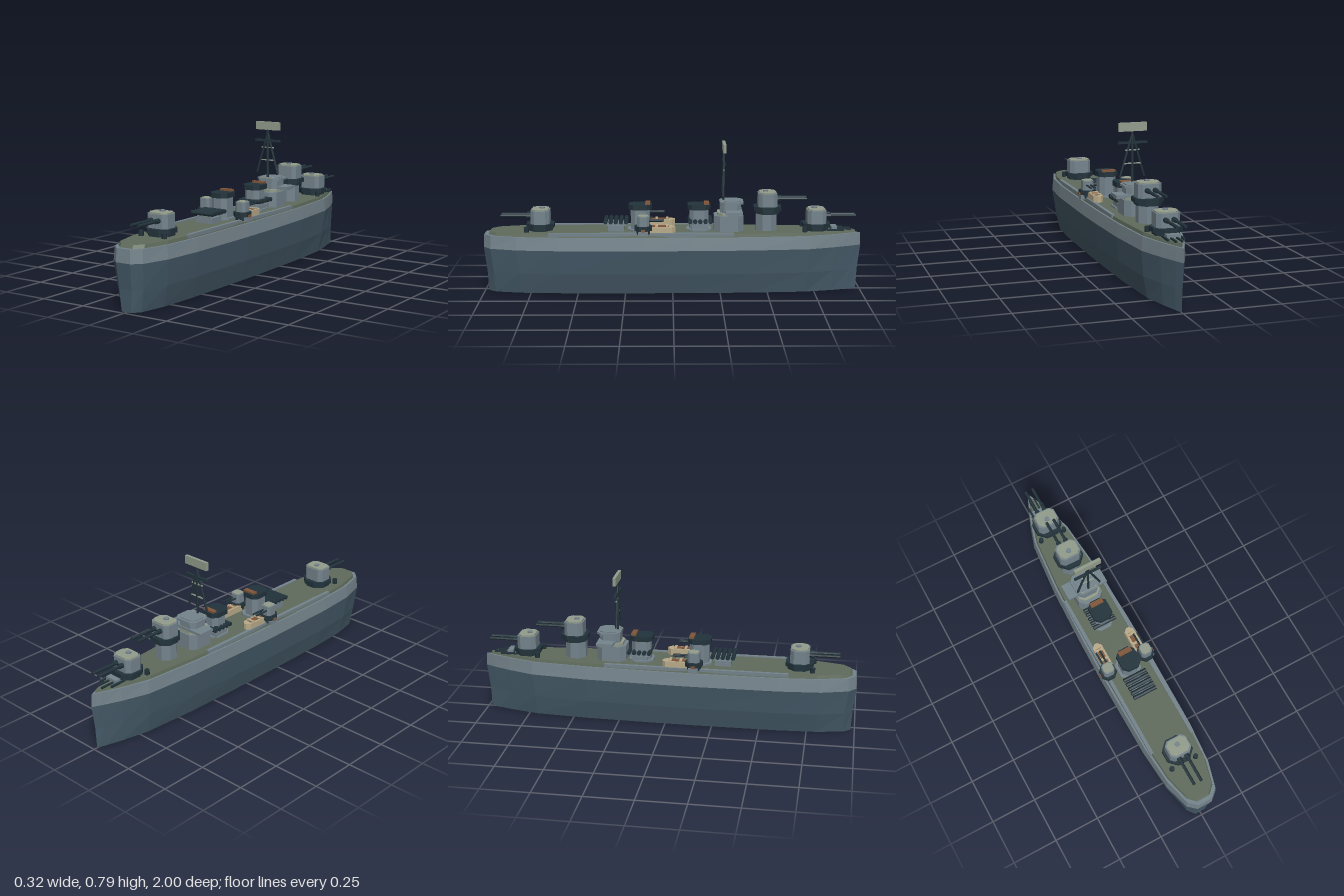
import * as THREE from 'three';

const mat = (name, color) => Object.assign(new THREE.MeshStandardMaterial({ color }), { name });
const M = {
  lower: mat('lowerHullBlue', 0x455a68),
  upper: mat('upperHullGrey', 0x74838b),
  deck: mat('deckOlive', 0x5f6b5c),
  grey: mat('superstructureGrey', 0x75848d),
  dark: mat('darkSteel', 0x22333b),
  roof: mat('roofSage', 0x929c8c),
  boat: mat('boatCream', 0xb9ab8a),
  brown: mat('rustBrown', 0x80563a),
};

function add(parent, name, geo, material, x = 0, y = 0, z = 0) {
  const m = new THREE.Mesh(geo, material);
  m.name = name;
  m.position.set(x, y, z);
  parent.add(m);
  return m;
}
const box = (w, h, d) => new THREE.BoxGeometry(w, h, d);
const flat = (geo) => { const g = geo.toNonIndexed(); g.computeVertexNormals(); return g; };

// Upright block with cut corners, standing on y = 0
function block(w, h, d, c) {
  const a = w / 2, b = d / 2;
  const pts = [[-a + c, -b], [a - c, -b], [a, -b + c], [a, b - c], [a - c, b], [-a + c, b], [-a, b - c], [-a, -b + c]];
  const shape = new THREE.Shape(pts.map((p) => new THREE.Vector2(...p)));
  return new THREE.ExtrudeGeometry(shape, { depth: h, bevelEnabled: false }).rotateX(-Math.PI / 2);
}

// Round bar between two points
function bar(parent, name, a, b, r, material, sides = 8) {
  const p = new THREE.Vector3(...a), q = new THREE.Vector3(...b), dir = q.clone().sub(p);
  const m = add(parent, name, flat(new THREE.CylinderGeometry(r, r, dir.length(), sides)), material);
  m.position.copy(p).add(q).multiplyScalar(0.5);
  m.quaternion.setFromUnitVectors(new THREE.Vector3(0, 1, 0), dir.normalize());
  return m;
}

// Half outline of the ship from bow to stern, as [x, z]
const half = [[0.022, -0.955], [0.062, -0.86], [0.108, -0.72], [0.136, -0.42], [0.147, -0.1], [0.151, 0.15],
  [0.146, 0.6], [0.128, 0.82], [0.088, 0.96], [0.042, 1]];
const ring = [[0, -1], ...half, ...half.slice().reverse().map(([x, z]) => [-x, z])];

// Skin through scaled outlines; each level is [y, xScale, zScale]
function shell(levels) {
  const pos = [], n = ring.length;
  const at = ([y, sx, sz], i) => [ring[i % n][0] * sx, y, ring[i % n][1] * sz];
  const last = levels[levels.length - 1];
  for (let i = 0; i < n; i++) {
    for (let k = 0; k + 1 < levels.length; k++) {
      const a = at(levels[k], i), b = at(levels[k], i + 1), c = at(levels[k + 1], i), d = at(levels[k + 1], i + 1);
      pos.push(...a, ...c, ...b, ...b, ...c, ...d);
    }
    pos.push(0, last[0], 0, ...at(last, i + 1), ...at(last, i));
    pos.push(0, levels[0][0], 0, ...at(levels[0], i), ...at(levels[0], i + 1));
  }
  const g = new THREE.BufferGeometry();
  g.setAttribute('position', new THREE.Float32BufferAttribute(pos, 3));
  g.computeVertexNormals();
  return g;
}

// Twin gun turret, barrels towards local +z
function turret(name, y, z, turn) {
  const g = new THREE.Group();
  g.name = name;
  g.position.set(0, y, z);
  g.rotation.y = turn;
  add(g, 'turretFoot', block(0.125, 0.02, 0.125, 0.035), M.dark);
  add(g, 'turretRing', block(0.15, 0.022, 0.145, 0.042), M.dark, 0, 0.016);
  add(g, 'gunHouse', block(0.122, 0.072, 0.1, 0.02), M.grey, 0, 0.036);
  add(g, 'gunHouseRoof', block(0.11, 0.009, 0.086, 0.02), M.roof, 0, 0.106);
  add(g, 'roofHatch', new THREE.CylinderGeometry(0.014, 0.014, 0.008, 8), M.grey, 0, 0.118, -0.01);
  for (const x of [-0.021, 0.021]) {
    bar(g, 'barrelCollar', [x, 0.078, 0.045], [x, 0.078, 0.075], 0.013, M.dark);
    bar(g, 'gunBarrel', [x, 0.078, 0.05], [x, 0.078, 0.208], 0.008, M.dark);
  }
  return g;
}

// Funnel with dark cap and rusty smoke opening
function funnel(name, z) {
  const g = new THREE.Group();
  g.name = name;
  g.position.set(0, 0.322, z);
  add(g, 'funnelFoot', block(0.12, 0.012, 0.13, 0.03), M.grey);
  add(g, 'funnelBody', block(0.09, 0.12, 0.1, 0.022), M.grey);
  add(g, 'funnelCap', block(0.106, 0.026, 0.122, 0.025), M.dark, 0, 0.116);
  add(g, 'funnelOpening', box(0.072, 0.012, 0.026), M.brown, 0, 0.146, -0.04);
  return g;
}

// Bank of five tubes lying across the deck
function tubeBank(z) {
  const g = new THREE.Group();
  g.name = 'tubeBank';
  g.position.set(0, 0.325, z);
  add(g, 'tubeMount', box(0.1, 0.03, 0.085), M.grey, 0, 0.015);
  add(g, 'tubeCradle', box(0.07, 0.02, 0.11), M.grey, 0, 0.035);
  for (let i = -2; i <= 2; i++) bar(g, 'tube', [-0.066, 0.052, i * 0.027], [0.066, 0.052, i * 0.027], 0.0115, M.dark);
  return g;
}

export function createModel() {
  const ship = new THREE.Group();
  ship.name = 'warship';

  // Hull and deck
  add(ship, 'lowerHull', shell([[0, 0.67, 0.98], [0.11, 0.87, 0.985], [0.24, 1, 1]]), M.lower);
  add(ship, 'upperHull', shell([[0.24, 1, 1], [0.308, 0.94, 0.996]]), M.upper);
  add(ship, 'deck', shell([[0.308, 0.87, 0.975], [0.325, 0.85, 0.965]]), M.deck);
  for (const s of [-1, 1]) add(ship, 'deckEdge', box(0.018, 0.018, 0.97), M.upper, s * 0.12, 0.322, 0.165);

  // Main guns
  ship.add(turret('bowTurret', 0.325, -0.76, Math.PI));
  ship.add(turret('raisedTurret', 0.415, -0.5, Math.PI));
  ship.add(turret('sternTurret', 0.325, 0.7, 0));
  add(ship, 'barbette', block(0.105, 0.1, 0.108, 0.032), M.grey, 0, 0.32, -0.495);
  for (const z of [-0.695, 0.77]) for (const s of [-1, 1]) {
    add(ship, 'bollard', new THREE.CylinderGeometry(0.013, 0.013, 0.03, 8), M.dark, s * 0.07, 0.337, z);
  }

  // Foredeck gear
  add(ship, 'breakwater', box(0.07, 0.022, 0.03), M.grey, 0, 0.334, -0.855);
  for (const s of [-1, 1]) {
    add(ship, 'anchorChain', box(0.01, 0.01, 0.09), M.dark, s * 0.04, 0.328, -0.86);
    add(ship, 'chainGuide', box(0.008, 0.01, 0.11), M.dark, s * 0.015, 0.328, -0.89);
  }

  // Bridge
  const bridge = new THREE.Group();
  bridge.name = 'bridge';
  add(bridge, 'bridgeBase', block(0.14, 0.085, 0.155, 0.03), M.grey, 0, 0.322, -0.295);
  add(bridge, 'bridgeBand', block(0.124, 0.018, 0.13, 0.025), M.roof, 0, 0.405, -0.3);
  add(bridge, 'bridgeWings', box(0.23, 0.014, 0.09), M.grey, 0, 0.43, -0.32);
  for (const s of [-1, 1]) add(bridge, 'wingScreen', box(0.045, 0.02, 0.06), M.grey, s * 0.09, 0.426, -0.315);
  add(bridge, 'bridgeHouse', block(0.115, 0.06, 0.11, 0.022), M.grey, 0, 0.42, -0.305);
  add(bridge, 'bridgeRoof', block(0.136, 0.012, 0.125, 0.025), M.grey, 0, 0.468, -0.31);
  add(bridge, 'bridgeRoofPanel', block(0.11, 0.005, 0.1, 0.02), M.upper, 0, 0.48, -0.31);
  add(bridge, 'bridgeRail', box(0.09, 0.007, 0.008), M.roof, 0, 0.481, -0.262);
  ship.add(bridge);

  // Tripod mast with yard and radar panel
  const mast = new THREE.Group();
  mast.name = 'mast';
  mast.position.z = -0.268;
  bar(mast, 'mastPole', [0, 0.483, 0], [0, 0.75, 0], 0.0065, M.dark);
  for (const s of [-1, 1]) bar(mast, 'mastLeg', [s * 0.065, 0.51, 0.004], [0, 0.73, 0], 0.006, M.dark);
  add(mast, 'yard', box(0.155, 0.011, 0.014), M.dark, 0, 0.686);
  add(mast, 'upperBrace', box(0.077, 0.006, 0.006), M.roof, 0, 0.648);
  add(mast, 'lowerBrace', box(0.09, 0.006, 0.006), M.roof, 0, 0.579);
  add(mast, 'radarPanel', box(0.149, 0.044, 0.016), M.roof, 0, 0.766, -0.002);
  ship.add(mast);

  // Funnels and tube banks
  ship.add(funnel('foreFunnel', -0.138), funnel('aftFunnel', 0.172));
  ship.add(tubeBank(-0.145), tubeBank(0.3));

  // Ship's boats and side guns, mirrored
  for (const s of [-1, 1]) {
    const boat = new THREE.Group();
    boat.name = 'boat';
    boat.position.set(s * 0.096, 0.328, 0.075);
    add(boat, 'boatHull', block(0.052, 0.034, 0.175, 0.018), M.boat);
    add(boat, 'boatWell', box(0.028, 0.005, 0.11), M.brown, 0, 0.035, 0);
    for (const z of [-0.045, 0.01]) add(boat, 'boatBench', box(0.046, 0.006, 0.014), M.boat, 0, 0.038, z);
    ship.add(boat);

    const gun = new THREE.Group();
    gun.name = 'sideGun';
    gun.position.set(s * 0.112, 0.325, 0.155);
    add(gun, 'sideGunFoot', block(0.06, 0.024, 0.07, 0.016), M.dark);
    add(gun, 'sideGunRing', block(0.084, 0.024, 0.09, 0.024), M.dark, 0, 0.02);
    add(gun, 'sideGunHouse', block(0.06, 0.052, 0.062, 0.012), M.grey, 0, 0.042);
    add(gun, 'sideGunRoof', block(0.052, 0.005, 0.052, 0.012), M.roof, 0, 0.093);
    for (const x of [-0.011, 0.011]) bar(gun, 'sideGunBarrel', [x, 0.072, -0.025], [x, 0.072, -0.11], 0.005, M.dark);
    add(gun, 'sideGunBracket', box(0.03, 0.022, 0.05), M.grey, s * 0.028, 0.006, 0);
    add(gun, 'sideGunLocker', box(0.016, 0.012, 0.022), M.brown, s * 0.041, 0.024, 0);
    ship.add(gun);
  }
  return ship;
}
